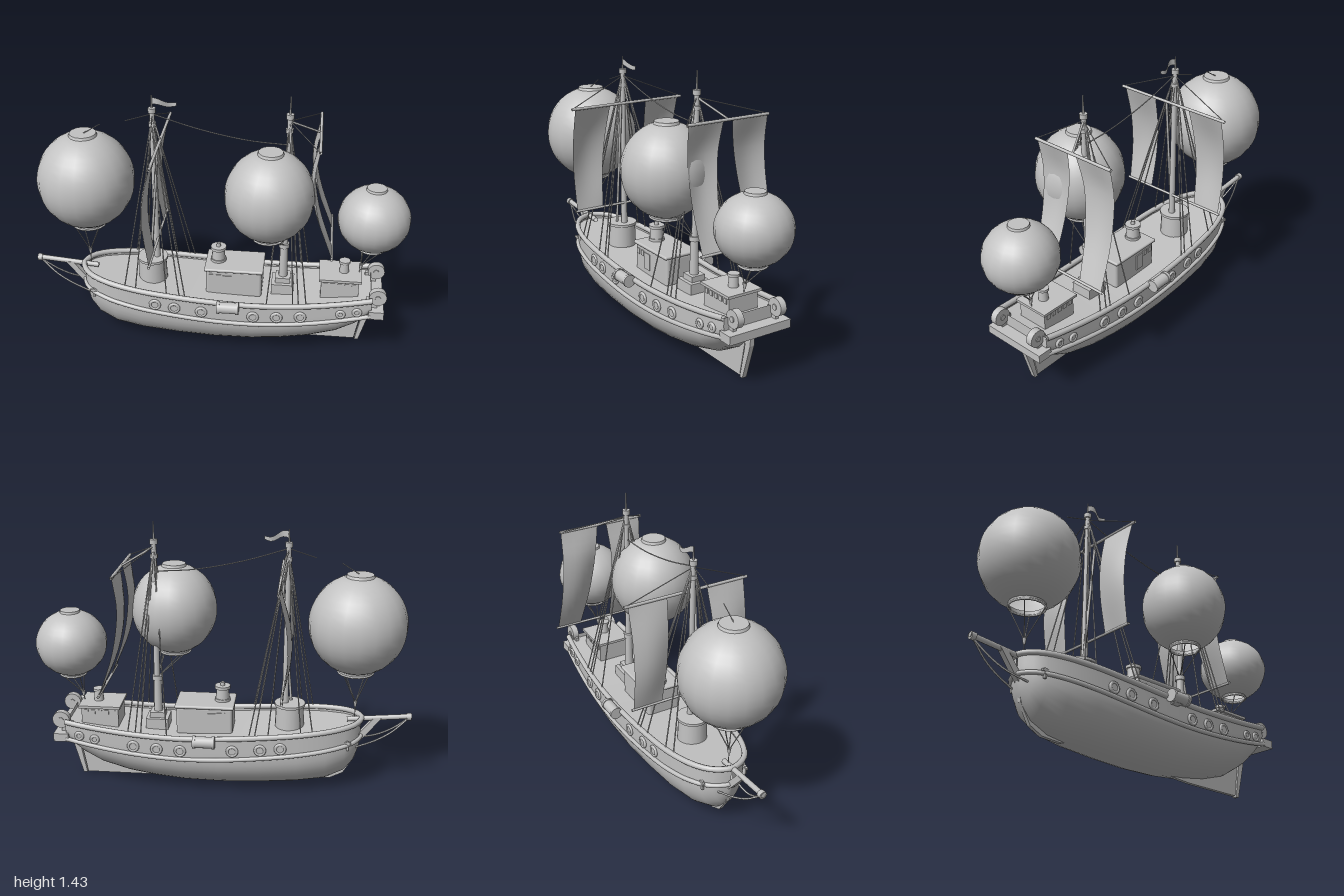
import * as THREE from 'three';
import { RoundedBoxGeometry } from 'three/addons/geometries/RoundedBoxGeometry.js';

const clay = new THREE.MeshStandardMaterial({ color: 0xc2c2c2, side: THREE.DoubleSide });
clay.name = 'plain grey';
const V = (x, y, z) => new THREE.Vector3(x, y, z);

// hull stations: x, half width, keel height
const stations = [
  [-0.735, 0.004, 0.27], [-0.725, 0.045, 0.22], [-0.7, 0.085, 0.15], [-0.65, 0.125, 0.09], [-0.55, 0.167, 0.045],
  [-0.4, 0.197, 0.025], [-0.2, 0.211, 0.012], [0, 0.216, 0.005], [0.2, 0.214, 0.01], [0.35, 0.209, 0.025],
  [0.5, 0.2, 0.05], [0.65, 0.187, 0.095], [0.75, 0.177, 0.155], [0.8, 0.171, 0.205], [0.83, 0.167, 0.25]];
const sheer = x => 0.328 + (x < 0.2 ? 0.075 * (0.2 - x) ** 1.4 : 0.12 * (x - 0.2) ** 2);
const rub = x => 0.21 + (x < 0.15 ? 0.105 * (0.15 - x) ** 1.5 : 0.15 * (x - 0.15) ** 2);
function beam(x) {
  let i = 1;
  while (i < stations.length - 1 && stations[i][0] < x) i++;
  const a = stations[i - 1], b = stations[i];
  return THREE.MathUtils.lerp(a[1], b[1], THREE.MathUtils.clamp((x - a[0]) / (b[0] - a[0]), 0, 1));
}
// surface joining rows of points
function loft(rows) {
  const n = rows[0].length, index = [];
  for (let i = 0; i < rows.length - 1; i++) for (let j = 0; j < n - 1; j++) {
    const a = i * n + j, b = a + n;
    index.push(a, a + 1, b, b, a + 1, b + 1);
  }
  const g = new THREE.BufferGeometry().setFromPoints(rows.flat());
  g.setIndex(index);
  g.computeVertexNormals();
  return g;
}

export function createModel() {
  const ship = new THREE.Group();
  ship.name = 'balloonShip';
  const add = (name, geo, x = 0, y = 0, z = 0) => {
    const m = new THREE.Mesh(geo, clay);
    m.name = name;
    m.position.set(x, y, z);
    ship.add(m);
    return m;
  };
  const box = (name, w, h, d, x, y, z) => add(name, new THREE.BoxGeometry(w, h, d), x, y, z);
  const cyl = (name, r1, r2, h, x, y, z, n = 16) => add(name, new THREE.CylinderGeometry(r1, r2, h, n), x, y, z);
  const tube = (name, pts, r, seg = 12, n = 6) =>
    add(name, new THREE.TubeGeometry(new THREE.CatmullRomCurve3(pts), seg, r, n));
  const rope = (a, b, r = 0.0025) => add('rope', new THREE.TubeGeometry(new THREE.LineCurve3(a, b), 1, r, 5));
  const pole = (name, a, b, r) => add(name, new THREE.TubeGeometry(new THREE.LineCurve3(a, b), 1, r, 8));
  const plate = (name, pts, t) => add(name, new THREE.ExtrudeGeometry(
    new THREE.Shape(pts.map(p => new THREE.Vector2(...p))), { depth: t, bevelEnabled: false }), 0, 0, -t / 2);

  // hull, transom and deck
  const N = 12;
  const section = ([x, w, k]) => Array.from({ length: 2 * N + 1 }, (_, j) => {
    const s = j / N - 1, t = Math.abs(s) ** 1.6, u = Math.min(1, t / 0.62);
    return V(x, k + (sheer(x) - k) * t, Math.sign(s) * w * (1 - (1 - u) ** 2) ** 0.55);
  });
  const rows = stations.map(section);
  add('hull', loft(rows));
  const last = rows[rows.length - 1];
  add('transom', loft([last, last.map(p => V(p.x, p.y, 0))]));
  add('deck', loft(stations.map(([x, w]) => [V(x, sheer(x) - 0.025, -w), V(x, sheer(x) - 0.025, w)])));

  // rails running round the bow
  const railPath = (f, out) => {
    const side = stations.slice(1).map(([x, w]) => V(x, f(x), w + out));
    return [...side.slice().reverse(), V(-0.74, f(-0.735), 0), ...side.map(p => V(p.x, p.y, -p.z))];
  };
  tube('topRail', railPath(sheer, 0.002), 0.015, 90, 8);
  tube('rubbingRail', railPath(rub, 0.004), 0.012, 90, 8);

  // keel, stem and rudder
  plate('stem', [[-0.735, 0.3], [-0.71, 0.17], [-0.65, 0.07], [-0.58, 0.035], [-0.47, 0.028], [-0.4, 0.04], [-0.6, 0.15], [-0.7, 0.3]], 0.02);
  plate('skeg', [[0.2, 0.02], [0.4, 0.008], [0.76, 0.008], [0.8, 0.24], [0.7, 0.18]], 0.02);
  plate('rudder', [[0.765, 0.003], [0.785, 0.003], [0.835, 0.19], [0.84, 0.28], [0.805, 0.28], [0.795, 0.17]], 0.026);

  // stern beam and rollers
  box('sternBeam', 0.08, 0.045, 0.36, 0.855, 0.288, 0);
  for (const s of [1, -1]) {
    cyl('sternRoller', 0.046, 0.046, 0.035, 0.86, 0.375, s * 0.125, 20).rotation.x = Math.PI / 2;
    cyl('rollerHub', 0.015, 0.015, 0.045, 0.86, 0.375, s * 0.125, 10).rotation.x = Math.PI / 2;
    box('rollerBracket', 0.06, 0.06, 0.02, 0.83, 0.335, s * 0.125);
  }

  // bowsprit
  pole('bowsprit', V(-1, 0.415, 0), V(-0.66, 0.385, 0), 0.014);
  cyl('bowspritTip', 0.02, 0.02, 0.025, -0.985, 0.412, 0, 10).rotation.z = Math.PI / 2;
  plate('bowBracket', [[-0.84, 0.4], [-0.8, 0.4], [-0.72, 0.3], [-0.72, 0.25], [-0.755, 0.29]], 0.03);
  for (const s of [1, -1]) tube('bobstay', [V(-0.98, 0.4, 0), V(-0.9, 0.33, s * 0.02), V(-0.82, 0.285, s * 0.035), V(-0.71, 0.25, s * 0.06)], 0.005);

  // portholes, side fenders and anchors
  for (const s of [1, -1]) {
    for (const x of [-0.315, -0.21, -0.065, 0.21, 0.335, 0.46, 0.67, 0.755]) {
      const y = (sheer(x) + rub(x)) / 2 - 0.012, z = s * (beam(x) + 0.003), small = x > 0.6 ? 0.75 : 1;
      add('portholeRim', new THREE.TorusGeometry(0.025 * small, 0.008, 8, 18), x, y, z);
      cyl('portholeGlass', 0.022 * small, 0.022 * small, 0.008, x, y, z).rotation.x = Math.PI / 2;
    }
    cyl('sideDrum', 0.03, 0.03, 0.09, 0.08, 0.33, s * 0.25).rotation.z = Math.PI / 2;
    for (const x of [0.03, 0.13]) cyl('drumBand', 0.034, 0.034, 0.015, x, 0.33, s * 0.25).rotation.z = Math.PI / 2;
    box('drumArm', 0.05, 0.02, 0.06, 0.08, 0.31, s * 0.225);
    box('anchorStock', 0.035, 0.012, 0.012, -0.665, 0.3, s * 0.125);
    box('anchorShank', 0.012, 0.05, 0.012, -0.665, 0.285, s * 0.125);
  }

  // middle cabin with funnel
  add('cabin', new RoundedBoxGeometry(0.3, 0.16, 0.185, 3, 0.015), 0.095, 0.375, 0);
  add('cabinRoof', new RoundedBoxGeometry(0.315, 0.018, 0.21, 2, 0.008), 0.095, 0.458, 0);
  for (const s of [1, -1]) {
    box('cabinDoor', 0.05, 0.09, 0.008, 0.06, 0.38, s * 0.093);
    for (const x of [-0.025, 0.015]) box('cabinWindow', 0.025, 0.03, 0.008, x, 0.415, s * 0.093);
  }
  cyl('funnel', 0.033, 0.038, 0.08, 0.005, 0.5, 0);
  cyl('funnelBand', 0.042, 0.042, 0.014, 0.005, 0.475, 0);
  cyl('funnelCap', 0.042, 0.042, 0.016, 0.005, 0.545, 0);
  cyl('funnelKnob', 0.01, 0.012, 0.02, 0.005, 0.562, 0, 10);

  // aft cabin
  box('aftCabin', 0.2, 0.11, 0.17, 0.66, 0.375, 0);
  box('aftCabinRoof', 0.225, 0.014, 0.2, 0.66, 0.435, 0);
  for (const s of [1, -1]) for (let i = 0; i < 5; i++) box('aftWindow', 0.022, 0.025, 0.008, 0.585 + i * 0.037, 0.405, s * 0.086);
  cyl('aftChimney', 0.023, 0.026, 0.06, 0.68, 0.47, 0);
  cyl('aftChimneyCap', 0.03, 0.03, 0.014, 0.68, 0.503, 0);

  // masts
  cyl('mastTub', 0.073, 0.078, 0.13, -0.355, 0.4, 0, 20);
  cyl('mastTubRim', 0.082, 0.082, 0.014, -0.355, 0.462, 0, 20);
  box('mastStep', 0.12, 0.06, 0.12, 0.355, 0.335, 0);
  box('mastStepTop', 0.08, 0.03, 0.08, 0.355, 0.38, 0);
  cyl('mastFoot', 0.021, 0.024, 0.2, 0.355, 0.48, 0, 12);
  cyl('mastCollar', 0.028, 0.028, 0.025, 0.355, 0.585, 0, 12);
  for (const [x, top] of [[-0.33, 1.405], [0.358, 1.43]]) {
    cyl('mast', 0.013, 0.018, 0.99, x, 0.835, 0, 10);
    cyl('topmast', 0.003, 0.006, top - 1.31, x, (top + 1.31) / 2, 0, 8);
    cyl('mastCap', 0.02, 0.02, 0.025, x, 1.325, 0, 10);
    cyl('mastBand', 0.02, 0.02, 0.02, x, 1.25, 0, 10);
    // shrouds from the mast head to the rails
    for (const s of [1, -1]) for (const dx of x < 0 ? [-0.15, -0.09, 0.08, 0.15, 0.18] : [-0.08, 0.06, 0.09, 0.13])
      rope(V(x, 1.29, s * 0.01), V(x + dx, sheer(x + dx), s * (beam(x + dx) + 0.003)), 0.0035);
  }
  pole('spareSpar', V(-0.3, 1.16, 0.03), V(-0.36, 0.47, 0.03), 0.007);

  // yards with a pair of hanging sails each; path is [x, y] from yard to boom
  const rig = (mastX, path, yard, boom, panels) => {
    const curve = new THREE.CatmullRomCurve3(path.map(([x, y]) => V(x, y, 0)));
    const a = curve.getPoint(0), b = curve.getPoint(1);
    pole('yard', V(a.x, a.y, yard[0]), V(a.x, a.y, yard[1]), 0.008);
    pole('boom', V(b.x, b.y, boom[0]), V(b.x, b.y, boom[1]), 0.007);
    for (const z of yard) rope(V(mastX, 1.3, 0), V(a.x, a.y, z));
    rope(V(mastX, 1.3, 0), V(a.x, a.y, (yard[0] + yard[1]) / 2), 0.006);
    for (const [t0, t1, b0, b1] of panels) add('sail', loft(Array.from({ length: 13 }, (_, i) => {
      const t = i / 12, p = curve.getPoint(t);
      return Array.from({ length: 7 }, (_, j) => {
        const u = j / 6, z0 = THREE.MathUtils.lerp(t0, b0, t), z1 = THREE.MathUtils.lerp(t1, b1, t);
        return V(p.x - 0.02 * Math.sin(Math.PI * u) * Math.sin(Math.PI * t), p.y, THREE.MathUtils.lerp(z0, z1, u));
      });
    })));
  };
  rig(-0.33, [[-0.295, 1.158], [-0.335, 0.98], [-0.345, 0.8], [-0.32, 0.588]], [0.33, -0.35], [0.31, -0.33],
    [[0.31, 0.1, 0.3, 0.14], [-0.33, -0.12, -0.32, -0.16]]);
  rig(0.358, [[0.515, 1.213], [0.495, 1.05], [0.525, 0.83], [0.605, 0.592]], [0.165, -0.315], [0.14, -0.33],
    [[0.155, -0.045, 0.13, 0.0], [-0.095, -0.31, -0.18, -0.32]]);

  // balloons: x, y, z, horizontal radius, vertical radius
  const balloon = (x, y, z, r, h) => {
    const pts = Array.from({ length: 17 }, (_, i) => {
      const a = -1.2 + (i / 16) * 2.5;
      return new THREE.Vector2(r * Math.cos(a), h * Math.sin(a));
    });
    pts.push(new THREE.Vector2(0.001, h * 0.975));
    add('balloon', new THREE.LatheGeometry(pts, 20), x, y, z);
    cyl('balloonCap', r * 0.27, r * 0.29, 0.014, x, y + h * 0.985, z, 18);
    add('balloonCollar', new THREE.CylinderGeometry(r * 0.37, r * 0.36, 0.03, 18, 1, true), x, y - h * 0.945, z);
    add('balloonCollarRim', new THREE.TorusGeometry(r * 0.36, 0.006, 6, 18), x, y - h * 0.99, z).rotation.x = Math.PI / 2;
  };
  const tether = (x, y, z, r, foot) => {
    for (let i = 0; i < 4; i++) {
      const a = Math.PI * (i / 2 + 0.25);
      rope(V(x + r * Math.cos(a), y, z + r * Math.sin(a)), foot, 0.003);
    }
  };
  balloon(-0.693, 0.917, -0.003, 0.255, 0.262);
  balloon(0.274, 0.94, 0.117, 0.228, 0.242);
  balloon(0.812, 0.77, -0.008, 0.188, 0.177);
  tether(-0.693, 0.66, -0.003, 0.09, V(-0.7, 0.48, 0));
  tether(0.274, 0.7, 0.117, 0.08, V(0.355, 0.585, 0));
  tether(0.812, 0.595, -0.008, 0.065, V(0.765, 0.48, 0));
  for (const [x, y] of [[-0.7, 0.475], [0.765, 0.475]]) cyl('tetherHook', 0.011, 0.006, 0.03, x, y, 0, 8);
  rope(V(-0.7, 0.47, 0), V(-0.7, 0.39, 0));
  rope(V(0.765, 0.47, 0), V(0.76, 0.44, 0));

  // stays and pennant
  tube('mainStay', [V(-0.33, 1.305, 0), V(-0.1, 1.235, 0), V(0.15, 1.185, 0), V(0.355, 1.17, 0)], 0.003);
  rope(V(-0.33, 1.305, 0), V(-0.47, 1.26, 0));
  rope(V(-0.6, 1.235, 0), V(-0.69, 1.18, 0));
  add('pennant', loft(Array.from({ length: 9 }, (_, i) => {
    const t = i / 8, y = 1.375 - 0.02 * t + 0.008 * Math.sin(t * 7), w = 0.018 * (1 - 0.5 * t), z = 0.012 * Math.sin(t * 6);
    return [V(-0.33 + 0.125 * t, y + w, z), V(-0.33 + 0.125 * t, y - w, z)];
  })));
  return ship;
}
